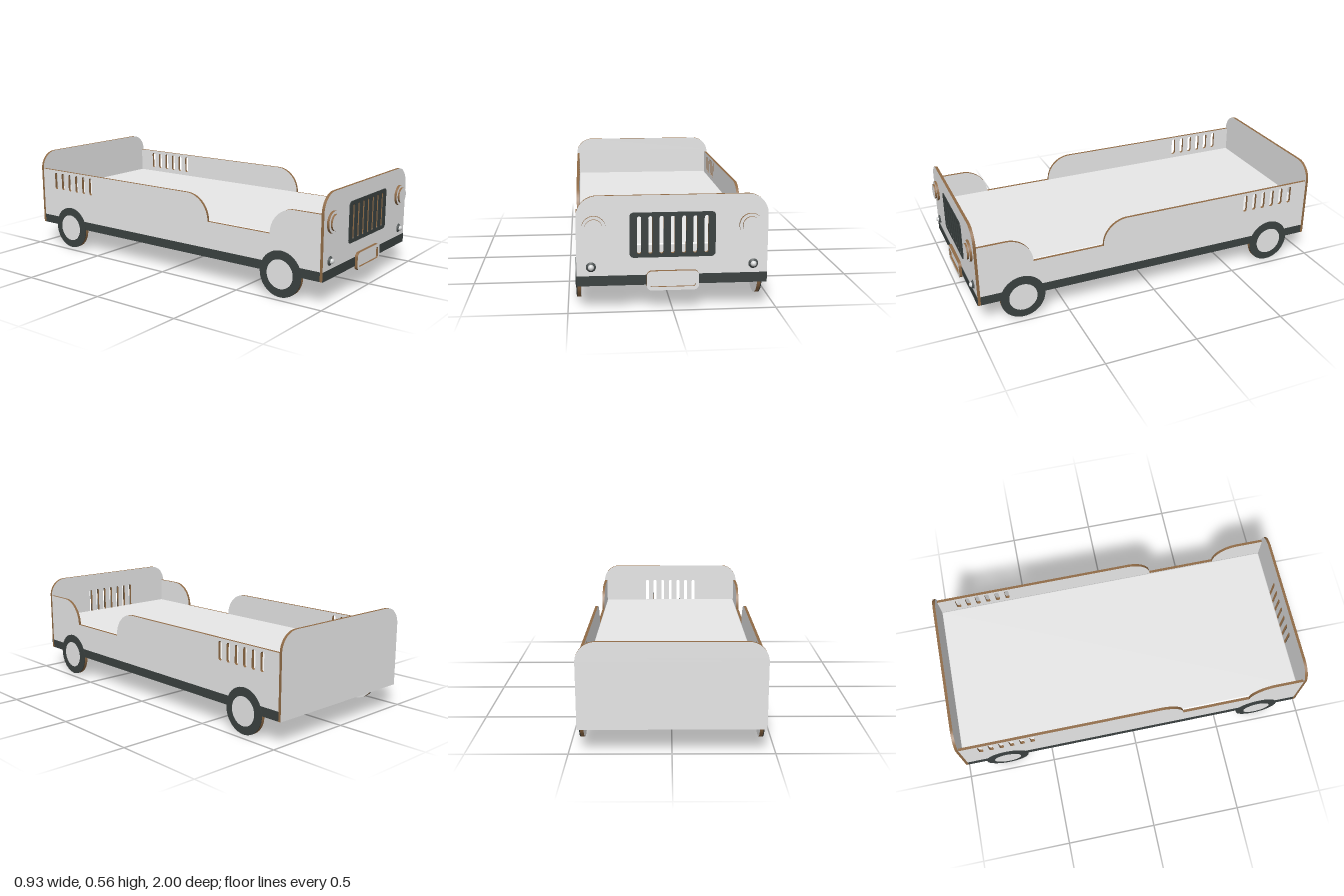
import * as THREE from 'three';
import { RoundedBoxGeometry } from 'three/addons/geometries/RoundedBoxGeometry.js';

const mat = (name, color) => Object.assign(new THREE.MeshStandardMaterial({ color }), { name });

// Rectangle with separate top and bottom corner radii
function roundRect(x0, y0, x1, y1, rTop, rBottom = rTop, path = new THREE.Shape()) {
  path.moveTo(x0 + rBottom, y0);
  path.lineTo(x1 - rBottom, y0);
  if (rBottom) path.absarc(x1 - rBottom, y0 + rBottom, rBottom, -Math.PI / 2, 0, false);
  path.lineTo(x1, y1 - rTop);
  path.absarc(x1 - rTop, y1 - rTop, rTop, 0, Math.PI / 2, false);
  path.lineTo(x0 + rTop, y1);
  path.absarc(x0 + rTop, y1 - rTop, rTop, Math.PI / 2, Math.PI, false);
  path.lineTo(x0, y0 + rBottom);
  if (rBottom) path.absarc(x0 + rBottom, y0 + rBottom, rBottom, Math.PI, Math.PI * 1.5, false);
  return path;
}

// Row of vertical round-ended slots
function addSlots(shape, count, first, step, width, y0, y1) {
  for (let i = 0; i < count; i++) {
    const c = first + i * step;
    shape.holes.push(roundRect(c - width / 2, y0, c + width / 2, y1, width / 2 - 0.0005, width / 2 - 0.0005, new THREE.Path()));
  }
  return shape;
}

export function createModel() {
  const model = new THREE.Group();
  model.name = 'carBed';
  const white = mat('whitePaint', 0xe6e6e6);
  const dark = mat('darkPaint', 0x3a4140);
  const wood = mat('wood', 0x8f6a45);
  const slatWood = mat('slatWood', 0xa37f63);
  const fabric = mat('mattressFabric', 0xe8e8e8);
  const metal = mat('metal', 0xd8dada);
  const lampRim = mat('lampRim', 0x4c5252);

  const add = (name, geometry, material, x = 0, y = 0, z = 0) => {
    const mesh = new THREE.Mesh(geometry, material);
    mesh.name = name;
    mesh.position.set(x, y, z);
    model.add(mesh);
    return mesh;
  };
  const slab = (shape, depth) => new THREE.ExtrudeGeometry(shape, { depth, bevelEnabled: false, curveSegments: 16 });
  const board = [white, wood];
  const frontZ = 0.977;

  // Front and back boards
  const front = addSlots(roundRect(-0.456, 0.125, 0.456, 0.56, 0.1, 0), 7, -0.16, 0.0533, 0.02, 0.278, 0.46);
  add('frontBoard', slab(front, 0.015), board, 0, 0, frontZ - 0.015);
  add('backBoard', slab(roundRect(-0.456, 0.125, 0.456, 0.56, 0.1, 0), 0.015), board, 0, 0, -1);
  add('frontStripe', new THREE.BoxGeometry(0.912, 0.049, 0.002), dark, 0, 0.1495, frontZ + 0.0005);

  // Grille
  const grille = addSlots(roundRect(-0.205, 0.26, 0.204, 0.478, 0.02), 7, -0.16, 0.0533, 0.02, 0.278, 0.46);
  add('grille', slab(grille, 0.004), dark, 0, 0, frontZ);

  // Bumper plate with a raised frame
  add('bumperPlate', slab(roundRect(-0.12, 0.105, 0.12, 0.19, 0.025), 0.006), board, 0, 0, frontZ);
  const bumper = roundRect(-0.125, 0.1, 0.125, 0.195, 0.025);
  bumper.holes.push(roundRect(-0.108, 0.117, 0.108, 0.178, 0.01, 0.01, new THREE.Path()));
  add('bumperFrame', slab(bumper, 0.017), board, 0, 0, frontZ);

  // Flat round part facing +z
  const disc = (name, rFront, rBack, depth, materials, x, y, z) => {
    add(name, new THREE.CylinderGeometry(rFront, rBack, depth, 40), materials, x, y, z + depth / 2).rotation.x = Math.PI / 2;
  };

  // Side profile in z (horizontal) and y
  const sideShape = () => {
    const s = new THREE.Shape();
    s.moveTo(-0.985, 0.125);
    s.lineTo(0.962, 0.125);
    s.lineTo(0.962, 0.46);
    s.lineTo(0.81, 0.46);
    s.absarc(0.81, 0.32, 0.14, Math.PI / 2, Math.PI, false);
    s.lineTo(0.28, 0.32);
    s.absarc(0.14, 0.32, 0.14, 0, Math.PI / 2, false);
    s.lineTo(-0.985, 0.46);
    return addSlots(s, 6, -0.875, 0.058, 0.024, 0.345, 0.445);
  };

  for (const s of [1, -1]) {
    const label = s > 0 ? 'left' : 'right';

    // Side board and lower stripe
    add(label + 'SideBoard', slab(sideShape(), 0.015), board, s > 0 ? 0.455 : -0.44).rotation.y = -Math.PI / 2;
    add(label + 'Stripe', new THREE.BoxGeometry(0.002, 0.049, 1.947), dark, s * 0.455, 0.1495, -0.0115);

    // Wheels: wooden disc, dark tyre face and white hub
    for (const [end, z] of [['Front', 0.738], ['Back', -0.757]]) {
      const layer = (part, r, inner, outer, materials) => {
        const geometry = new THREE.CylinderGeometry(r, r, outer - inner, 48);
        add(label + end + part, geometry, materials, s * (inner + outer) / 2, 0.1215, z).rotation.z = -s * Math.PI / 2;
      };
      layer('Wheel', 0.1215, 0.437, 0.455, [wood, dark, white]);
      layer('Tyre', 0.1215, 0.455, 0.459, dark);
      layer('Hub', 0.077, 0.459, 0.463, [dark, white, white]);
    }

    // Headlight and fog light
    disc(label + 'HeadlightRing', 0.056, 0.056, 0.013, [wood, white, white], s * 0.373, 0.41, frontZ);
    disc(label + 'HeadlightLens', 0.042, 0.042, 0.01, [wood, white, white], s * 0.373, 0.41, frontZ + 0.013);
    disc(label + 'FogLightBase', 0.015, 0.024, 0.01, lampRim, s * 0.388, 0.218, frontZ);
    add(label + 'FogLightBulb', new THREE.SphereGeometry(0.015, 20, 12), metal, s * 0.388, 0.218, frontZ + 0.008);

    // Side rail holding the slat ends
    add(label + 'Rail', new THREE.BoxGeometry(0.02, 0.071, 1.947), wood, s * 0.43, 0.161, -0.0115);
  }

  // End rails, slats and mattress
  for (const [name, z] of [['frontRail', 0.952], ['backRail', -0.975]])
    add(name, new THREE.BoxGeometry(0.84, 0.036, 0.02), wood, 0, 0.18, z);
  for (let i = 0; i < 14; i++)
    add('slat', new THREE.BoxGeometry(0.84, 0.018, 0.064), slatWood, 0, 0.179, -0.91 + i * 0.1385);
  add('mattress', new RoundedBoxGeometry(0.88, 0.132, 1.947, 3, 0.008), fabric, 0, 0.257, -0.0115);

  return model;
}
